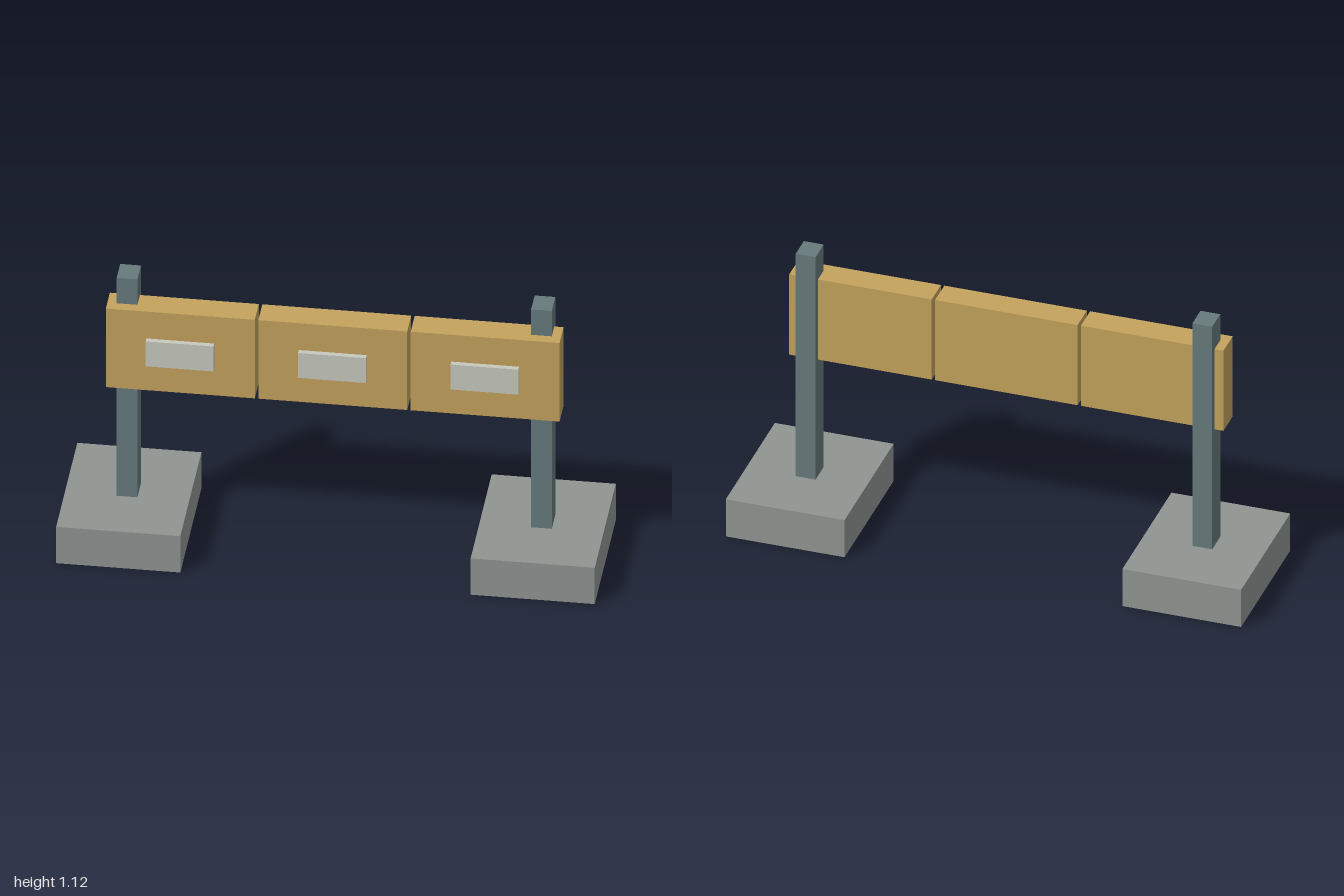
import * as THREE from 'three';

const material = (name, color) => {
  const m = new THREE.MeshStandardMaterial({ color });
  m.name = name;
  return m;
};

export function createModel() {
  const concrete = material('concrete grey', 0x8f9592);
  const steel = material('slate steel', 0x677a7c);
  const ochre = material('ochre board', 0xc4a35c);
  const pale = material('pale plate', 0xc8c9be);

  const model = new THREE.Group();
  model.name = 'barrier';

  // Box given by its size and centre
  const box = (name, mat, [w, h, d], [x, y, z]) => {
    const mesh = new THREE.Mesh(new THREE.BoxGeometry(w, h, d), mat);
    mesh.name = name;
    mesh.position.set(x, y, z);
    model.add(mesh);
  };

  // Footing blocks with upright posts
  for (const [side, s] of [['right', -1], ['left', 1]]) {
    box(`${side}Footing`, concrete, [0.461, 0.16, 0.567], [s * 0.7695, 0.08, 0]);
    box(`${side}Post`, steel, [0.077, 0.96, 0.094], [s * 0.7695, 0.64, 0]);
  }

  // Row of three boards, each with a raised plate on the front
  ['right', 'middle', 'left'].forEach((place, i) => {
    const x = (i - 1) * 0.566;
    box(`${place}Board`, ochre, [0.553, 0.346, 0.107], [x, 0.835, 0.034]);
    box(`${place}Plate`, pale, [0.252, 0.11, 0.02], [x, 0.835, 0.0975]);
  });

  return model;
}
